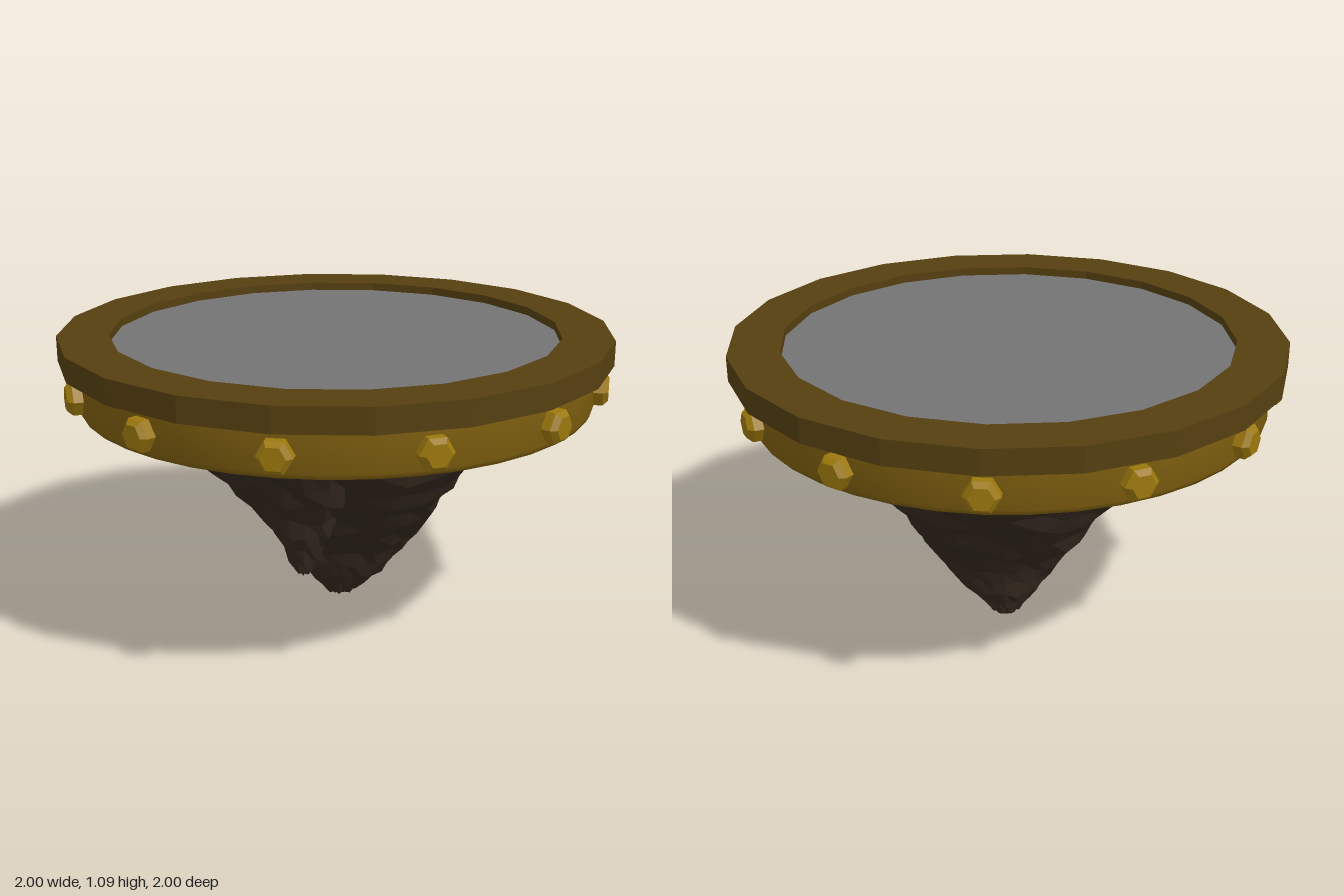
import * as THREE from 'three';
import { toCreasedNormals } from 'three/addons/utils/BufferGeometryUtils.js';

const mat = (color, flatShading = false) => new THREE.MeshStandardMaterial({ color, flatShading });

// Closed or open profile of [radius, height] pairs turned about y
function turned(profile, segments) {
  return new THREE.LatheGeometry(profile.map(([r, y]) => new THREE.Vector2(r, y)), segments);
}

// Rugged stone from levels [y, minX, maxX, minZ, maxZ], listed from top to tip
function rock(levels, rings, sides, rough) {
  const pos = [], index = [];
  for (let i = 0; i <= rings; i++) {
    const t = (i / rings) * (levels.length - 1);
    const k = Math.min(Math.floor(t), levels.length - 2);
    const [y, x0, x1, z0, z1] = levels[k].map((v, n) => THREE.MathUtils.lerp(v, levels[k + 1][n], t - k));
    const edge = i === 0 || i === rings ? 0 : rough;
    for (let j = 0; j < sides; j++) {
      const a = (j / sides) * Math.PI * 2;
      // Layered waves give ridges and ledges
      const n = Math.sin(3 * a + y * 9) * 0.35 + Math.sin(5 * a - y * 17 + 1) * 0.35 + Math.sin(j * 12.9 + i * 78.2) * 0.4;
      const s = 1 + edge * n;
      pos.push(
        (x0 + x1) / 2 + ((x1 - x0) / 2) * Math.cos(a) * s,
        y + edge * 0.15 * Math.sin(j * 4.1 + i * 2.7),
        (z0 + z1) / 2 + ((z1 - z0) / 2) * Math.sin(a) * s);
      if (i < rings) {
        const p = i * sides + j, q = i * sides + ((j + 1) % sides);
        index.push(p, q, p + sides, q, q + sides, p + sides);
      }
    }
  }
  const g = new THREE.BufferGeometry();
  g.setAttribute('position', new THREE.Float32BufferAttribute(pos, 3));
  g.setIndex(index);
  g.computeVertexNormals();
  return g;
}

export function createModel() {
  const model = new THREE.Group();
  const add = (name, geometry, material, parent = model) => {
    const mesh = new THREE.Mesh(geometry, material);
    mesh.name = name;
    parent.add(mesh);
    return mesh;
  };

  // Faceted top rim
  add('topRim', turned([[0.815, 1], [1, 1], [1, 1.09], [0.815, 1.09], [0.815, 1]], 20), mat(0x553f10, true));

  // Recessed floor
  const floor = add('floorDisc', new THREE.CylinderGeometry(0.82, 0.82, 0.03, 20), mat(0x737373, true));
  floor.position.y = 1.045;

  // Lower band with rounded bottom edges
  const band = turned([
    [0.78, 1.01], [0.78, 0.85], [0.787, 0.836], [0.8, 0.83], [0.91, 0.83],
    [0.928, 0.836], [0.937, 0.855], [0.937, 1.01],
  ], 40);
  add('lowerBand', toCreasedNormals(band, 0.9), mat(0x80600f));

  // Twelve hexagonal bolts
  const boltGeometry = turned([[0.061, 0.9], [0.061, 0.967], [0.043, 0.986], [0, 0.986]], 6)
    .rotateY(Math.PI / 6).rotateX(Math.PI / 2);
  const boltMaterial = mat(0x9c780d, true);
  const bolts = new THREE.Group();
  bolts.name = 'bolts';
  model.add(bolts);
  for (let i = 0; i < 12; i++) {
    const bolt = add('bolt', boltGeometry, boltMaterial, bolts);
    bolt.position.y = 0.915;
    bolt.rotation.y = (i * Math.PI) / 6;
  }

  // Hanging rock: main mass and the smaller front spike
  const stone = mat(0x35291f, true);
  add('mainRock', rock([
    [1.03, -0.79, 0.79, -0.79, 0.79],
    [0.83, -0.72, 0.68, -0.70, 0.70],
    [0.73, -0.60, 0.61, -0.61, 0.59],
    [0.60, -0.49, 0.52, -0.52, 0.48],
    [0.48, -0.39, 0.42, -0.43, 0.37],
    [0.35, -0.30, 0.34, -0.33, 0.23],
    [0.24, -0.21, 0.26, -0.24, 0.09],
    [0.13, -0.14, 0.17, -0.21, 0.04],
    [0.03, -0.06, 0.06, -0.17, -0.03],
    [0, -0.02, -0.02, -0.10, -0.10],
  ], 18, 26, 0.055), stone);
  add('frontSpike', rock([
    [0.90, -0.30, 0.24, 0.20, 0.74],
    [0.83, -0.27, 0.20, 0.22, 0.71],
    [0.67, -0.22, 0.16, 0.28, 0.60],
    [0.52, -0.17, 0.10, 0.32, 0.51],
    [0.40, -0.11, 0.04, 0.34, 0.47],
    [0.31, -0.07, 0.00, 0.37, 0.43],
    [0.29, -0.04, -0.04, 0.40, 0.40],
  ], 12, 14, 0.09), stone);

  return model;
}
